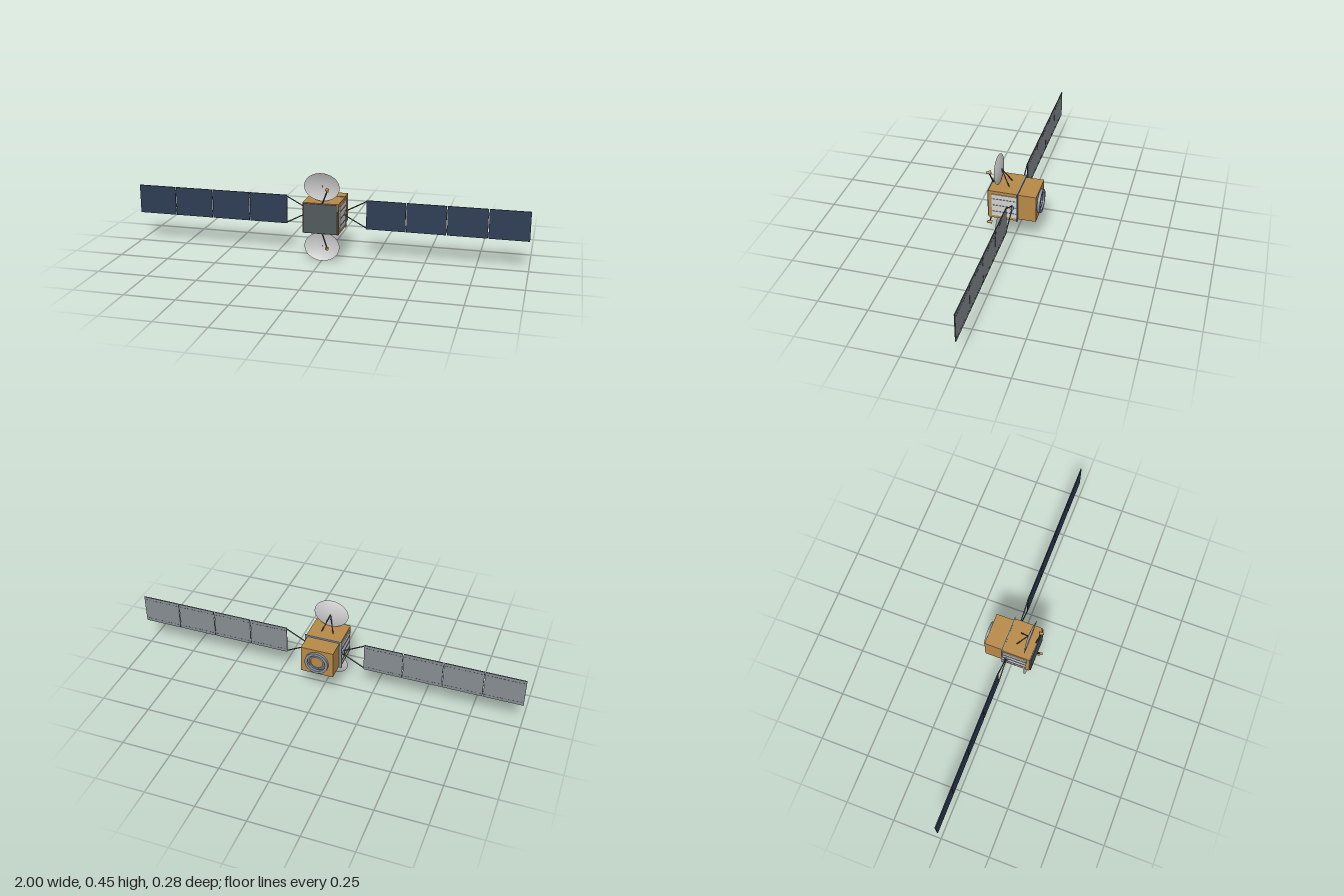
import * as THREE from 'three';

const CY = 0.2235; // height of the satellite's axis

export function createModel() {
  const root = new THREE.Group();
  const mat = (name, color, side = THREE.FrontSide) => {
    const m = new THREE.MeshStandardMaterial({ color, side });
    m.name = name;
    return m;
  };
  const gold = mat('gold foil', 0xb88a48);
  const white = mat('radiator white', 0xd2d2ce);
  const dishGrey = mat('dish grey', 0xcccccc, THREE.DoubleSide);
  const steel = mat('blue steel', 0x8592a2);
  const plateGrey = mat('plate grey', 0x525a5c);
  const dark = mat('dark strut', 0x414950);
  const navy = mat('solar navy', 0x2d3c54);
  const backGrey = mat('panel back grey', 0x868d92);

  const add = (name, geo, material, x = 0, y = 0, z = 0, parent = root) => {
    const m = new THREE.Mesh(geo, material);
    m.name = name;
    m.position.set(x, y, z);
    parent.add(m);
    return m;
  };
  const box = (name, w, h, d, material, x, y, z, parent) =>
    add(name, new THREE.BoxGeometry(w, h, d), material, x, y, z, parent);
  // Round bar (or cone) between two points
  const bar = (name, a, b, r, material, r2 = r, sides = 8, parent = root) => {
    const p = new THREE.Vector3(...a), q = new THREE.Vector3(...b);
    const d = q.clone().sub(p);
    const m = add(name, new THREE.CylinderGeometry(r2, r, d.length(), sides), material, 0, 0, 0, parent);
    m.position.copy(p).add(q).multiplyScalar(0.5);
    m.quaternion.setFromUnitVectors(new THREE.Vector3(0, 1, 0), d.normalize());
    return m;
  };

  // Bus: front module, rear module, front plate and joint flange
  box('frontModule', 0.18, 0.155, 0.142, gold, 0, CY, 0.041);
  box('rearModule', 0.166, 0.142, 0.095, gold, 0, CY, -0.0775);
  box('frontPlate', 0.172, 0.149, 0.007, plateGrey, 0, CY, 0.1155);
  box('jointFlange', 0.192, 0.159, 0.006, steel, 0, CY, -0.031);

  // Engine ring at the back, open in the middle
  const ring = (name, rIn, rOut, len, material) => {
    const pts = [[rIn, 0], [rOut, 0], [rOut, len], [rIn, len], [rIn, 0]];
    // doubled points keep the ring's edges sharp
    const sharp = pts.flatMap((p, i) => (i > 0 && i < 4 ? [p, p] : [p]));
    const geo = new THREE.LatheGeometry(sharp.map(p => new THREE.Vector2(...p)), 32);
    geo.rotateX(-Math.PI / 2);
    add(name, geo, material, 0, CY, -0.125);
  };
  ring('engineRing', 0.046, 0.06, 0.013, steel);
  ring('innerRing', 0.032, 0.04, 0.006, steel);

  for (const s of [1, -1]) {
    const side = new THREE.Group();
    side.name = s > 0 ? 'leftSide' : 'rightSide';
    root.add(side);

    // Radiator with heat pipes
    box('radiator', 0.004, 0.122, 0.124, white, s * 0.092, CY, 0.034, side);
    for (const y of [-0.036, 0, 0.036])
      box('heatPipe', 0.002, 0.003, 0.122, steel, s * 0.095, CY + y, 0.034, side);

    // Rotary joint and yoke
    bar('rotaryJoint', [s * 0.088, CY, -0.007], [s * 0.101, CY, -0.007], 0.011, steel, 0.011, 20, side);
    box('yokeRoot', 0.005, 0.032, 0.005, dark, s * 0.1, CY, -0.007, side);
    for (const v of [1, -1])
      bar('yokeArm', [s * 0.1, CY + v * 0.013, -0.007], [s * 0.204, CY + v * 0.068, -0.007],
        0.003, dark, 0.003, 8, side);

    // Solar wing of four panels: navy in front, grey behind, dark edges
    const faces = [dark, dark, dark, dark, navy, backGrey];
    for (let i = 0; i < 4; i++) {
      const x = s * (0.301 + i * 0.2);
      box('solarPanel', 0.196, 0.148, 0.005, faces, x, CY, -0.008, side);
      for (const v of [1, -1]) {
        // Broken wiring lines on the back
        for (let k = 0; k < 10; k++)
          box('wiring', 0.011, 0.0015, 0.001, dark, x + (k - 4.5) * 0.019, CY + v * 0.058, -0.0107, side);
        if (i < 3)
          box('hinge', 0.008, 0.014, 0.004, dark, x + s * 0.1, CY + v * 0.05, -0.0085, side);
      }
    }
  }

  // Shallow oval reflector, shared by both antennas
  const profile = [];
  for (let i = 0; i <= 10; i++) profile.push(new THREE.Vector2(i / 10, 0.0135 * (i / 10) ** 2));
  const dishGeo = new THREE.LatheGeometry(profile, 40);
  dishGeo.rotateX(Math.PI / 2);
  dishGeo.scale(0.089, 0.072, 1);
  dishGeo.computeVertexNormals();

  for (const v of [1, -1]) {
    const antenna = new THREE.Group();
    antenna.name = v > 0 ? 'upperAntenna' : 'lowerAntenna';
    root.add(antenna);
    const y = d => CY + v * d;
    const dish = add('dish', dishGeo, dishGrey, 0, y(0.153), 0.07, antenna);
    dish.rotation.x = v * 0.1;
    bar('dishPin', [0, y(0.153), 0.066], [0, y(0.153), 0.073], 0.003, dark, 0.003, 8, antenna);
    // V-shaped mount behind the dish
    for (const s of [1, -1])
      bar('dishStrut', [s * 0.03, y(0.076), 0.024], [0, y(0.153), 0.07], 0.0028, dark, 0.0028, 8, antenna);
    // Feed horn on its arm, mouth turned to the dish
    bar('feedArm', [0.008, y(0.074), 0.109], [0.037, y(0.144), 0.124], 0.0035, dark, 0.0035, 8, antenna);
    bar('feedHorn', [0.041, y(0.146), 0.137], [0.033, y(0.149), 0.114], 0.0055, gold, 0.0095, 16, antenna);
  }
  return root;
}
